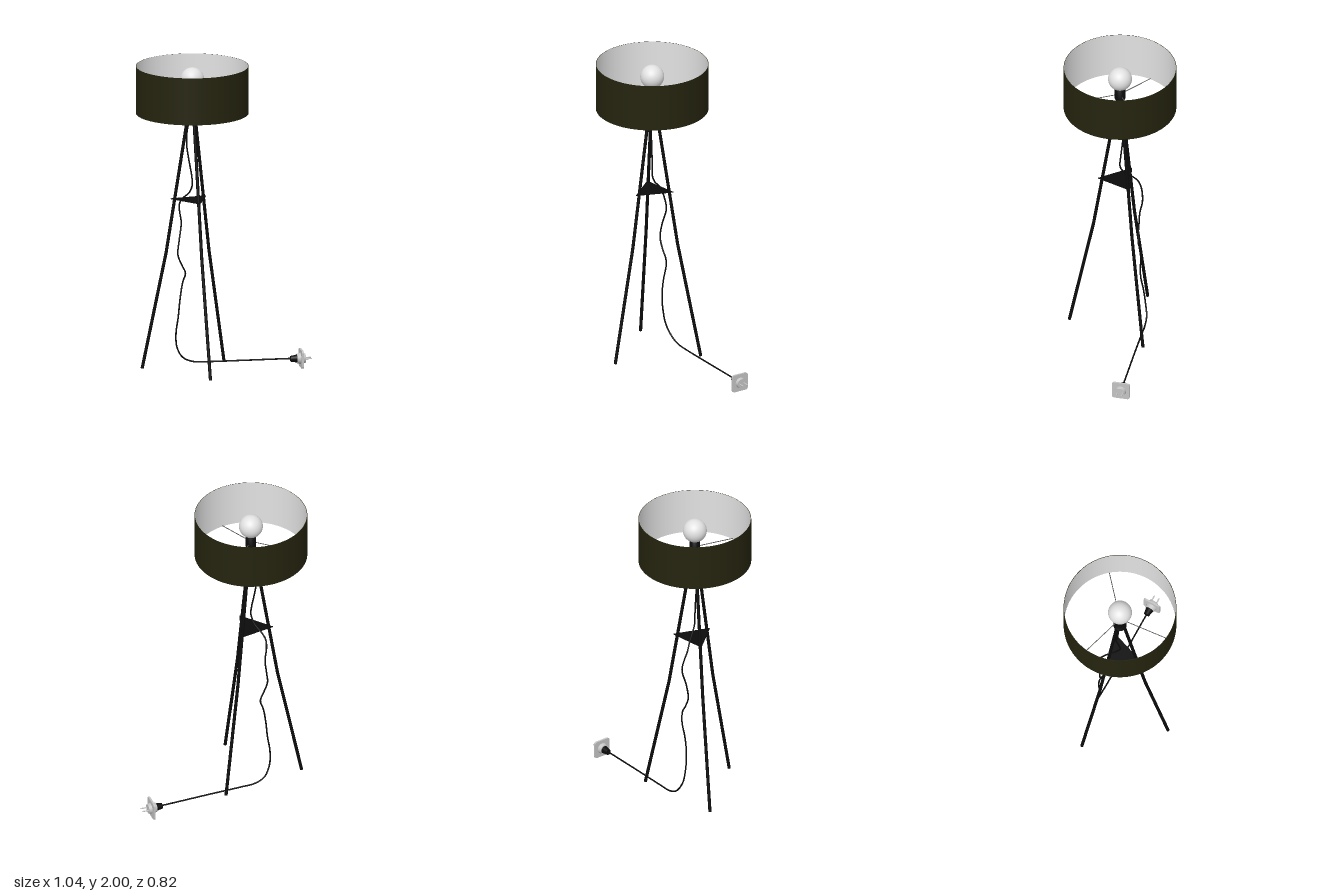
import * as THREE from 'three';

const mat = (name, color, side = THREE.FrontSide) => {
  const m = new THREE.MeshStandardMaterial({ color, side });
  m.name = name;
  return m;
};

export function createModel() {
  const black = mat('black', 0x0b0b0b);
  const olive = mat('dark olive fabric', 0x25240f, THREE.DoubleSide);
  const white = mat('white', 0xe2e2e2, THREE.DoubleSide);
  const wire = mat('wire grey', 0x555555);
  const plastic = mat('plug grey', 0xc4c4c4);

  const model = new THREE.Group();
  model.name = 'tripodLamp';
  const V = (x, y, z) => new THREE.Vector3(x, y, z);
  const add = (parent, name, geometry, material, x = 0, y = 0, z = 0) => {
    const mesh = new THREE.Mesh(geometry, material);
    mesh.name = name;
    mesh.position.set(x, y, z);
    parent.add(mesh);
    return mesh;
  };
  // Round rod between two points
  const rod = (parent, name, a, b, r, material) => {
    const d = b.clone().sub(a);
    const mesh = add(parent, name, new THREE.CylinderGeometry(r, r, d.length(), 16), material);
    mesh.position.copy(a).addScaledVector(d, 0.5);
    mesh.quaternion.setFromUnitVectors(V(0, 1, 0), d.normalize());
    return mesh;
  };

  // Lamp on its own vertical axis
  const lamp = new THREE.Group();
  lamp.name = 'lamp';
  lamp.position.set(-0.168, 0, 0.053);
  model.add(lamp);

  // Shade: outer fabric, pale lining and thin rims
  const R = 0.352;
  add(lamp, 'shadeOuter', new THREE.CylinderGeometry(R, R, 0.3, 96, 1, true), olive, 0, 1.85);
  add(lamp, 'shadeLining', new THREE.CylinderGeometry(R - 0.003, R - 0.003, 0.3, 96, 1, true), white, 0, 1.85);
  for (const y of [1.7, 2]) {
    const rim = add(lamp, 'shadeRim', new THREE.RingGeometry(R - 0.003, R, 96), olive, 0, y);
    rim.rotation.x = -Math.PI / 2;
  }

  // Bulb, socket and collar
  add(lamp, 'bulb', new THREE.SphereGeometry(0.075, 40, 28), white, 0, 1.915);
  const socket = [[0, 1.675], [0.03, 1.675], [0.042, 1.69], [0.042, 1.705], [0.026, 1.715],
    [0.026, 1.76], [0.033, 1.765], [0.033, 1.845], [0, 1.85]];
  add(lamp, 'socket', new THREE.LatheGeometry(socket.map(p => new THREE.Vector2(...p)), 32), black);

  // Three bent legs with a shade strut above each
  const corners = [];
  for (const angle of [Math.PI, Math.PI / 3, -Math.PI / 3]) {
    const at = (r, y) => V(r * Math.cos(angle), y, r * Math.sin(angle));
    rod(lamp, 'lowerLeg', at(0.316, 0.055), at(0.165, 0.8), 0.01, black);
    rod(lamp, 'upperLeg', at(0.165, 0.8), at(0.025, 1.695), 0.01, black);
    add(lamp, 'legBend', new THREE.SphereGeometry(0.01, 16, 10), black).position.copy(at(0.165, 0.8));
    rod(lamp, 'shadeStrut', at(0.03, 1.79), at(R - 0.002, 1.705), 0.0025, wire);
    corners.push(new THREE.Vector2(0.138 * Math.cos(angle), 0.138 * Math.sin(angle)));
  }

  // Triangular brace plate
  const plate = new THREE.ExtrudeGeometry(new THREE.Shape(corners), { depth: 0.005, bevelEnabled: false });
  plate.rotateX(Math.PI / 2);
  add(lamp, 'bracePlate', plate, black, 0, 1.148);

  // Hanging cable running across the floor to the plug
  const path = [
    [-0.17, 1.70, 0.05], [-0.198, 1.6, 0.05], [-0.204, 1.5, 0.05], [-0.19, 1.4, 0.05],
    [-0.172, 1.3, 0.052], [-0.168, 1.24, 0.052], [-0.19, 1.185, 0.03], [-0.235, 1.14, -0.005],
    [-0.26, 1.1, -0.025], [-0.264, 1.05, -0.045], [-0.255, 0.97, -0.058], [-0.264, 0.86, -0.032],
    [-0.27, 0.77, -0.022], [-0.245, 0.7, -0.032], [-0.226, 0.65, -0.046], [-0.245, 0.59, -0.055],
    [-0.26, 0.48, -0.04], [-0.27, 0.37, -0.034], [-0.286, 0.26, -0.045], [-0.282, 0.17, -0.062],
    [-0.25, 0.1, -0.092], [-0.19, 0.07, -0.118], [-0.1, 0.065, -0.15], [0.1, 0.063, -0.225],
    [0.3, 0.061, -0.302], [0.4, 0.06, -0.34],
  ].map(p => V(...p));
  add(model, 'cable', new THREE.TubeGeometry(new THREE.CatmullRomCurve3(path), 220, 0.005, 8), black);

  // Plug, built along its own +x
  const plug = new THREE.Group();
  plug.name = 'plug';
  plug.position.set(0.455, 0.058, -0.36);
  plug.rotation.y = 0.35;
  model.add(plug);
  const turned = (name, r0, r1, x0, x1, material) => {
    const g = new THREE.CylinderGeometry(r1, r0, x1 - x0, 28).rotateZ(-Math.PI / 2);
    return add(plug, name, g, material, (x0 + x1) / 2);
  };
  turned('strainRelief', 0.018, 0.025, -0.068, -0.026, black);
  turned('plugBack', 0.03, 0.036, -0.028, -0.004, plastic);
  turned('plugFace', 0.034, 0.03, 0.006, 0.026, plastic);

  // Rounded square flange
  const h = 0.057, c = 0.016;
  const s = new THREE.Shape();
  s.absarc(h - c, h - c, c, 0, Math.PI / 2);
  s.absarc(c - h, h - c, c, Math.PI / 2, Math.PI);
  s.absarc(c - h, c - h, c, Math.PI, Math.PI * 1.5);
  s.absarc(h - c, c - h, c, Math.PI * 1.5, Math.PI * 2);
  const flange = new THREE.ExtrudeGeometry(s, { depth: 0.012, bevelEnabled: false });
  flange.rotateY(Math.PI / 2);
  add(plug, 'plugFlange', flange, plastic, -0.005);

  for (const z of [-0.017, 0.017]) {
    rod(plug, 'plugPin', V(0.02, 0, z), V(0.066, 0, z), 0.004, plastic);
  }
  return model;
}
